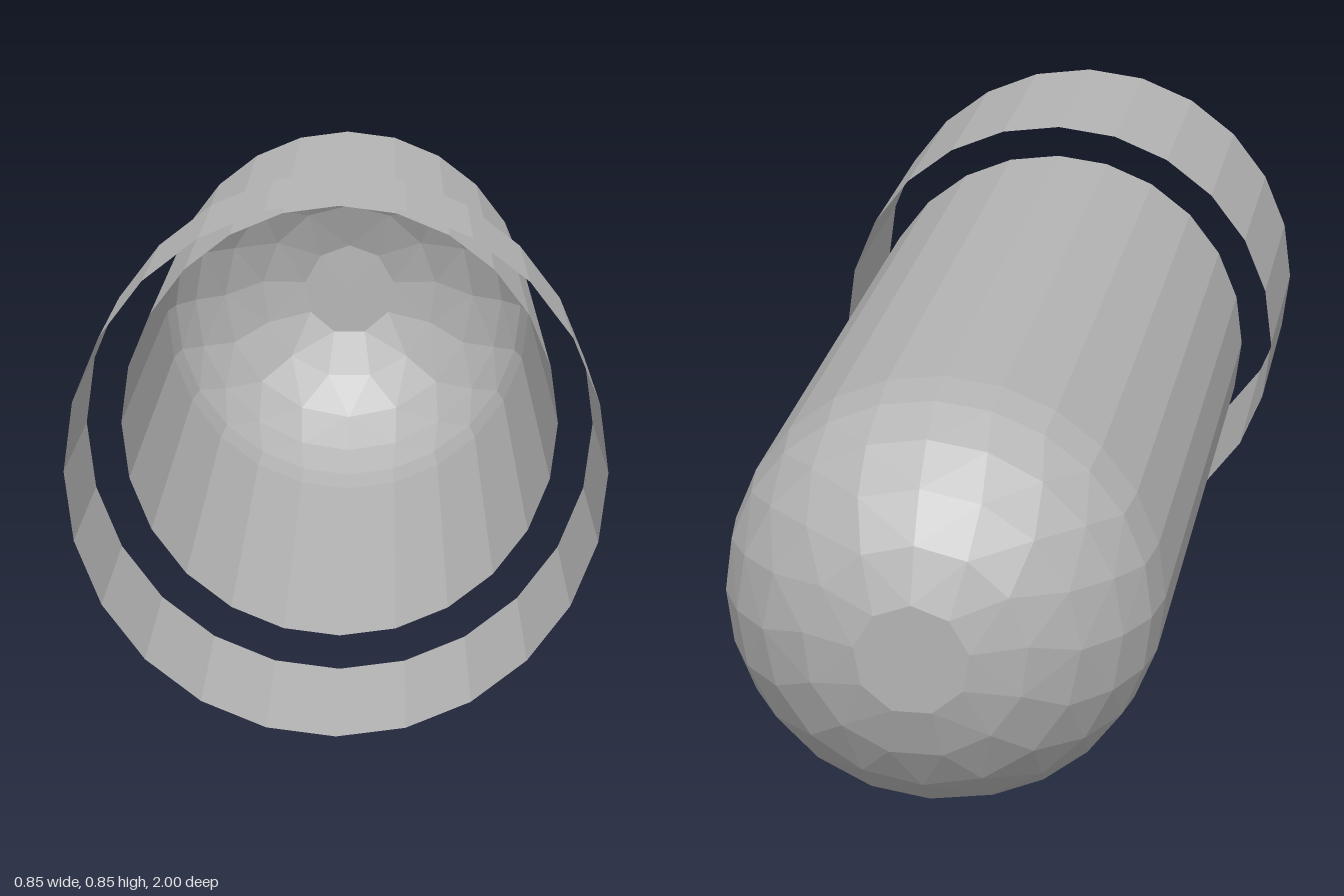
import * as THREE from 'three';

const AXIS_Y = 0.424;

// Ring of n points around the z axis
function ring(radius, z, n) {
  return Array.from({ length: n }, (_, i) => {
    const a = (i / n) * Math.PI * 2;
    return [Math.sin(a) * radius, Math.cos(a) * radius, z];
  });
}

// Triangles joining two rings that may have different point counts (b lies further back)
function bridge(a, b, out) {
  let i = 0, j = 0;
  while (i < a.length || j < b.length) {
    const p = a[i % a.length], q = b[j % b.length];
    const stepA = j >= b.length || (i < a.length && (i + 0.5) / a.length <= (j + 0.5) / b.length);
    if (stepA) out.push(p, a[++i % a.length], q);
    else out.push(p, b[++j % b.length], q);
  }
}

export function createModel() {
  const model = new THREE.Group();
  const grey = new THREE.MeshStandardMaterial({ color: 0xb4b4b4, flatShading: true, side: THREE.DoubleSide });
  grey.name = 'plain grey';

  const add = (name, geometry) => {
    const mesh = new THREE.Mesh(geometry, grey);
    mesh.name = name;
    mesh.position.y = AXIS_Y;
    model.add(mesh);
  };

  // Open tubes lying along z
  const tube = (name, radius, z0, z1) => {
    const g = new THREE.CylinderGeometry(radius, radius, z1 - z0, 24, 1, true);
    g.rotateX(Math.PI / 2).translate(0, 0, (z0 + z1) / 2);
    add(name, g);
  };
  tube('collar', 0.424, 0.57, 1);
  tube('barrel', 0.366, -0.69, 0.57);

  // Faceted dome whose rings get coarser toward a flat tip
  const rings = [24, 24, 20, 16, 13, 9].map((n, k) => {
    const a = (k * Math.PI) / 12;
    return ring(0.366 * Math.cos(a), -0.69 - 0.321 * Math.sin(a), n);
  });
  const points = [];
  for (let k = 0; k < rings.length - 1; k++) bridge(rings[k], rings[k + 1], points);
  const tip = rings[rings.length - 1];
  tip.forEach((p, i) => points.push(p, tip[(i + 1) % tip.length], [0, 0, -1]));

  const dome = new THREE.BufferGeometry();
  dome.setAttribute('position', new THREE.Float32BufferAttribute(points.flat(), 3));
  dome.computeVertexNormals();
  add('dome', dome);

  return model;
}
